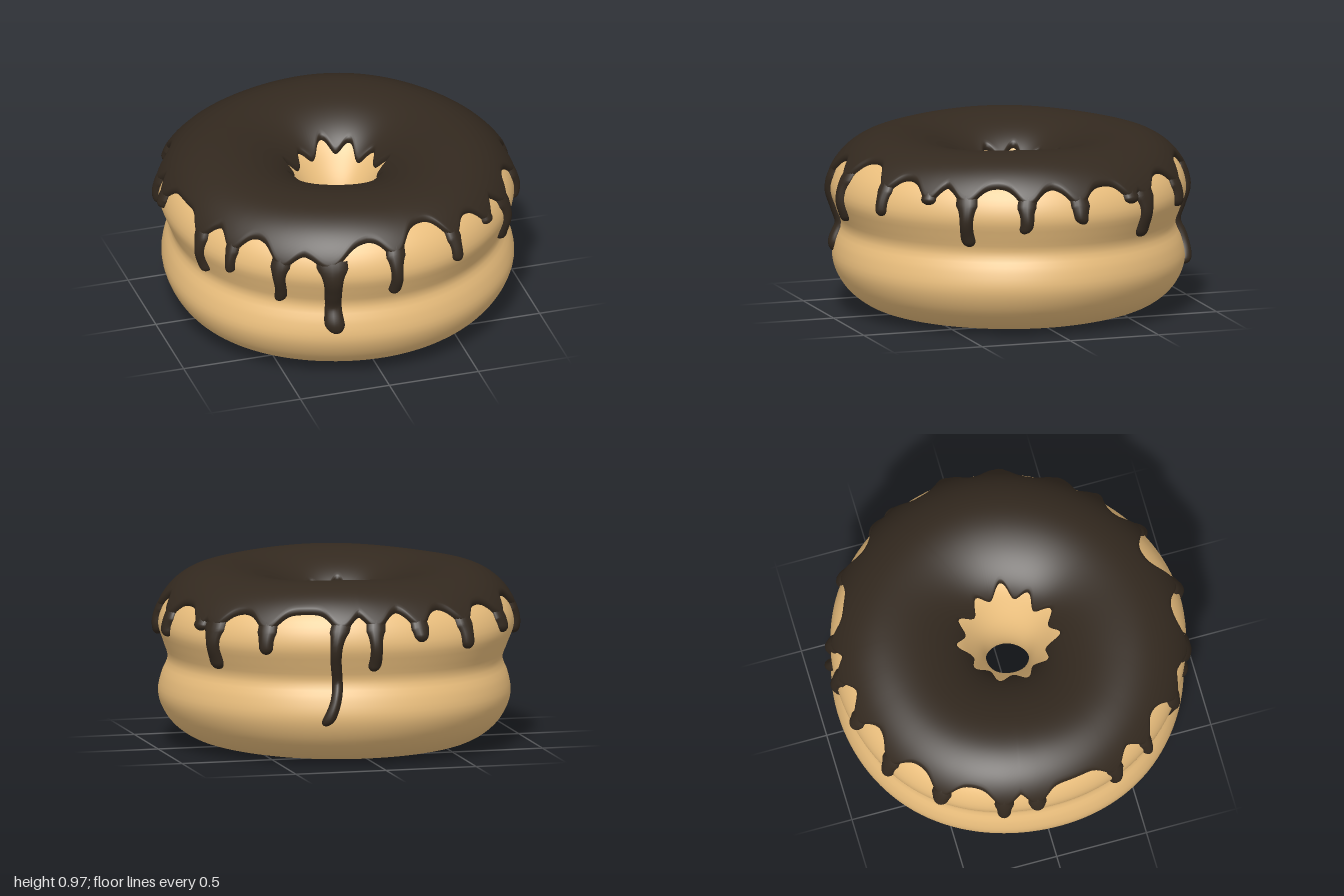
import * as THREE from 'three';

// Dough cross-section (radius, height): throat, underside, outer wall, top, back to throat
const PROFILE = [
  [0.115, 0.45], [0.135, 0.3], [0.2, 0.15], [0.33, 0.05], [0.5, 0.01], [0.62, 0.01],
  [0.77, 0.05], [0.885, 0.14], [0.945, 0.27], [0.93, 0.38], [0.897, 0.47], [0.925, 0.56],
  [0.955, 0.66], [0.925, 0.77], [0.84, 0.87], [0.72, 0.93], [0.58, 0.94], [0.42, 0.9],
  [0.29, 0.82], [0.2, 0.7], [0.135, 0.57],
];

// Drips: x and z on the plan, height of the tip, half width, sideways lean
const DRIPS = [
  [-0.92, 0.37, 0.52, 0.033, 0.03], [-0.78, 0.57, 0.61, 0.027, 0], [-0.57, 0.8, 0.48, 0.036, -0.03],
  [-0.32, 0.94, 0.32, 0.056, 0.03], [0.05, 0.98, 0.54, 0.036, -0.02], [0.42, 0.88, 0.64, 0.032, 0],
  [0.68, 0.72, 0.73, 0.026, 0], [0.81, 0.53, 0.51, 0.04, 0.02], [0.95, 0.21, 0.59, 0.034, -0.03],
  [0.98, -0.08, 0.63, 0.034, -0.02], [0.87, -0.41, 0.71, 0.03, 0], [0.83, -0.51, 0.51, 0.045, 0],
  [0.6, -0.77, 0.62, 0.036, 0], [0.22, -0.96, 0.24, 0.036, 0.1], [0.02, -0.98, 0.53, 0.036, 0.02],
  [-0.24, -0.94, 0.68, 0.033, 0], [-0.52, -0.82, 0.62, 0.036, 0], [-0.78, -0.6, 0.66, 0.034, 0],
  [-0.93, -0.28, 0.6, 0.034, 0], [-0.98, -0.1, 0.67, 0.03, 0],
].map(([x, z, tip, width, lean]) => ({ angle: Math.atan2(z, x), tip, width, lean }));

const N = 240;
const curve = new THREE.CatmullRomCurve3(
  PROFILE.map(([r, y]) => new THREE.Vector3(r, y, 0)), true, 'centripetal');
curve.arcLengthDivisions = 1000;
const samples = curve.getSpacedPoints(N).slice(0, N);
const STEP = curve.getLength() / N;
const topIndex = samples.reduce((best, p, k) => (p.y > samples[best].y ? k : best), 0);
const wallIndex = samples.findIndex((p) => p.x > 0.75);

// Arc position where the outer wall (rising) or the hole wall (falling) crosses a height
function arcAt(y, inner) {
  let k = inner ? topIndex : wallIndex;
  while (inner ? samples[k].y > y : samples[k].y < y) k++;
  const a = samples[k - 1].y, b = samples[k].y;
  return (k - 1 + (y - a) / (b - a)) * STEP;
}

// Point on the dough at an angle and arc position, lifted along the surface normal
function surface(angle, arc, lift) {
  const f = arc / STEP, k = Math.floor(f), t = f - k;
  const at = (n) => samples[(n + N) % N];
  const p = at(k).clone().lerp(at(k + 1), t);
  const d0 = at(k + 1).clone().sub(at(k - 1)), d1 = at(k + 2).clone().sub(at(k));
  const d = d0.lerp(d1, t).normalize();
  let r = p.x + d.y * lift, y = p.y - d.x * lift;
  // gentle handmade unevenness
  r *= 1 + 0.008 * Math.sin(3 * angle + 4 * y) + 0.004 * Math.sin(5 * angle + 1);
  y += 0.006 * y * Math.sin(4 * angle + 0.7);
  return new THREE.Vector3(r * Math.cos(angle) + 0.01, y, r * Math.sin(angle) + 0.01);
}

// Smooth grid surface, wrapped around in i and optionally in j
function gridMesh(name, ni, nj, wrapJ, material, point) {
  const pos = [], index = [];
  for (let j = 0; j < nj; j++)
    for (let i = 0; i < ni; i++) pos.push(...point(i, j).toArray());
  for (let j = 0; j < (wrapJ ? nj : nj - 1); j++) {
    for (let i = 0; i < ni; i++) {
      const i2 = (i + 1) % ni, j2 = (j + 1) % nj;
      const a = j * ni + i, b = j * ni + i2, c = j2 * ni + i, d = j2 * ni + i2;
      index.push(a, c, b, b, c, d);
    }
  }
  const geometry = new THREE.BufferGeometry();
  geometry.setAttribute('position', new THREE.Float32BufferAttribute(pos, 3));
  geometry.setIndex(index);
  geometry.computeVertexNormals();
  const mesh = new THREE.Mesh(geometry, material);
  mesh.name = name;
  return mesh;
}

const angleGap = (a, b) => Math.atan2(Math.sin(a - b), Math.cos(a - b));

// Height of the icing's outer rim: scalloped, sagging into every drip
function rimHeight(angle) {
  let sag = 0;
  for (const d of DRIPS) {
    const g = angleGap(angle, d.angle) / (d.width + 0.045);
    sag = Math.max(sag, Math.exp(-g * g));
  }
  const lift = 0.04 * Math.exp(-((angleGap(angle, 1.3) / 0.22) ** 2));
  const droop = 0.05 * Math.exp(-((angleGap(angle, 2.05) / 0.2) ** 2));
  return 0.825 + lift - droop + 0.012 * Math.sin(2 * angle + 5) - 0.09 * sag;
}

const innerHeight = (angle) =>
  0.775 + 0.032 * Math.sin(11 * angle) + 0.012 * Math.sin(4 * angle + 1);

function makeIcing(material) {
  const columns = 480, edge = [0, 0.002, 0.007, 0.015, 0.025, 0.036], middle = 36;
  const rows = edge.length * 2 + middle;
  const ends = Array.from({ length: columns }, (_, i) => {
    const angle = (i / columns) * Math.PI * 2;
    return { angle, from: arcAt(rimHeight(angle), false), to: arcAt(innerHeight(angle), true) };
  });
  return gridMesh('icing', columns, rows, false, material, (i, j) => {
    const { angle, from, to } = ends[i], length = to - from, e = edge.length;
    let d;
    if (j < e) d = edge[j];
    else if (j >= rows - e) d = length - edge[rows - 1 - j];
    else d = 0.036 + ((j - e + 1) / (middle + 1)) * (length - 0.072);
    // rounded lip at both rims
    const q = 1 - Math.min(1, Math.min(d, length - d) / 0.036);
    return surface(angle, from + d, 0.034 * Math.sqrt(1 - q * q) - 0.006);
  });
}

function makeDrip({ angle, tip, width, lean }, material) {
  const sides = 16, rows = 36;
  const rim = arcAt(rimHeight(angle), false);
  const start = rim + 0.05, end = arcAt(tip, false), length = start - end;
  return gridMesh('drip', sides, rows, false, material, (i, j) => {
    const t = Math.sin((j / (rows - 1)) * Math.PI / 2); // rows crowd toward the tip
    const arc = start - t * length, left = length * (1 - t);
    const q = 1 - Math.min(1, left / (width * 1.1));
    const round = Math.sqrt(Math.max(0, 1 - q * q));
    // flared where it leaves the rim, narrow neck, fuller bead at the tip
    const flare = 0.7 * Math.exp(-Math.max(0, rim - arc) / 0.04);
    const bead = 0.15 * Math.exp(-((left - width) ** 2) / 0.004);
    const w = width * (0.86 + flare + bead) * round;
    const thick = (0.032 + 0.008 * t) * round;
    const phi = (i / sides) * Math.PI * 2;
    const wander = lean * t * t + 0.25 * lean * Math.sin(t * 6);
    // lean is positive toward the model's left
    const dir = angle < 0 ? 1 : -1;
    const a = angle + dir * wander - (Math.sin(phi) * w) / 0.95;
    return surface(a, arc, Math.cos(phi) * thick - 0.004);
  });
}

export function createModel() {
  const group = new THREE.Group();
  group.name = 'doughnut';
  const doughMaterial = new THREE.MeshStandardMaterial({ color: 0xecc07e });
  const icingMaterial = new THREE.MeshStandardMaterial({ color: 0x33291f });

  // Ring of dough
  group.add(gridMesh('dough', 128, 96, true, doughMaterial, (i, j) =>
    surface((i / 128) * Math.PI * 2, (j / 96) * N * STEP, 0)));

  // Icing cap with its runs
  group.add(makeIcing(icingMaterial));
  const drips = new THREE.Group();
  drips.name = 'drips';
  for (const d of DRIPS) drips.add(makeDrip(d, icingMaterial));
  group.add(drips);
  return group;
}
